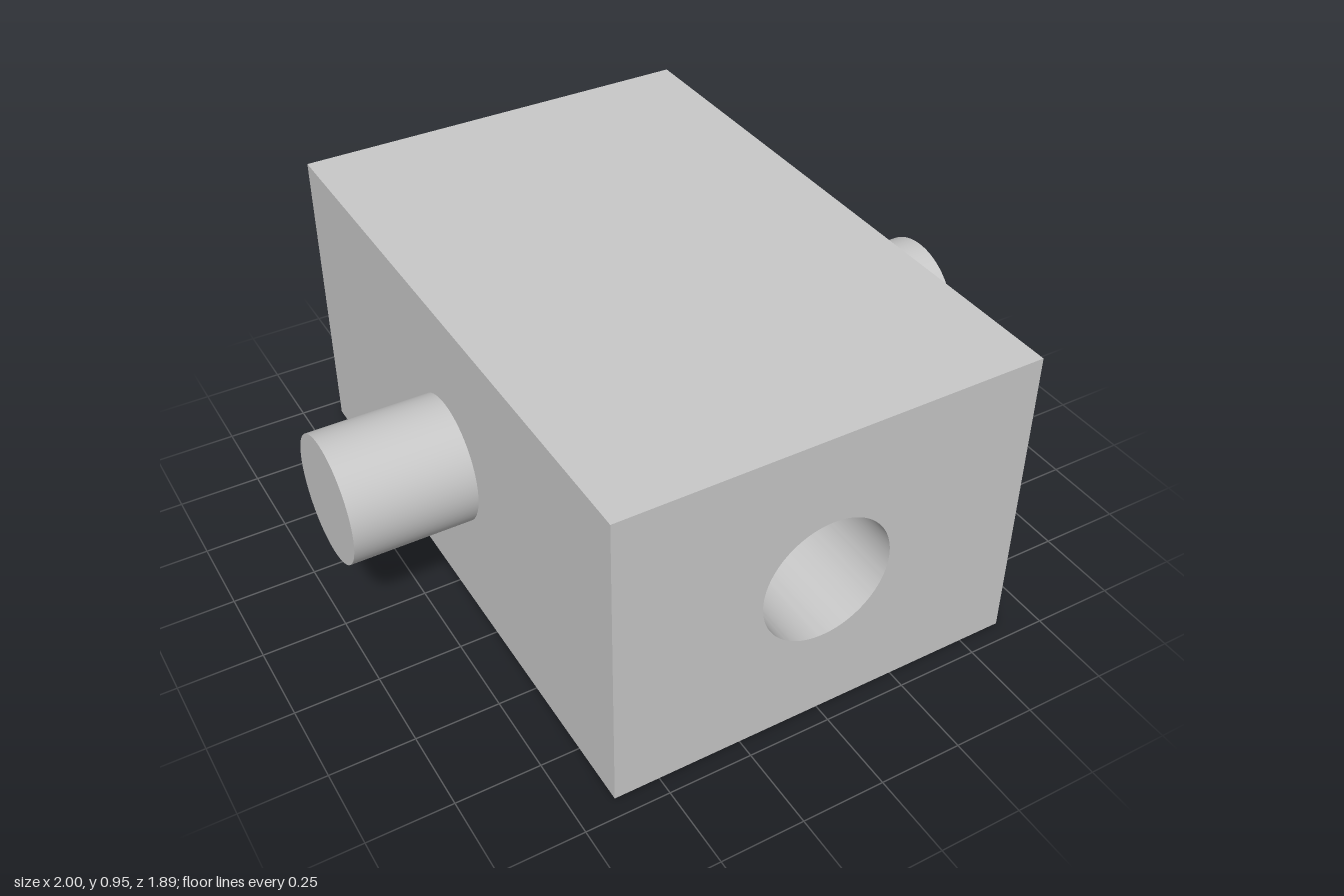
import * as THREE from 'three';
import { toCreasedNormals } from 'three/addons/utils/BufferGeometryUtils.js';

export function createModel() {
  const model = new THREE.Group();
  model.name = 'crossPinBlock';

  const grey = new THREE.MeshStandardMaterial({ color: 0xc8c8c8 });
  grey.name = 'plain grey';

  const halfWidth = 0.634, height = 0.952, depth = 1.888;
  const centreY = height / 2;

  // Block with a round bore running front to back
  const outline = new THREE.Shape();
  outline.moveTo(-halfWidth, 0);
  outline.lineTo(halfWidth, 0);
  outline.lineTo(halfWidth, height);
  outline.lineTo(-halfWidth, height);
  outline.closePath();

  const bore = new THREE.Path();
  bore.absarc(0, centreY, 0.198, 0, Math.PI * 2, true);
  outline.holes.push(bore);

  const blockGeometry = new THREE.ExtrudeGeometry(outline, {
    depth, bevelEnabled: false, curveSegments: 64,
  });
  blockGeometry.translate(0, 0, -depth / 2);
  const block = new THREE.Mesh(toCreasedNormals(blockGeometry, Math.PI / 6), grey);
  block.name = 'block';
  model.add(block);

  // Solid pin running side to side, crossing the bore
  const pinGeometry = new THREE.CylinderGeometry(0.19, 0.19, 2, 64);
  pinGeometry.rotateZ(Math.PI / 2);
  const pin = new THREE.Mesh(pinGeometry, grey);
  pin.name = 'crossPin';
  pin.position.y = centreY;
  model.add(pin);

  return model;
}
